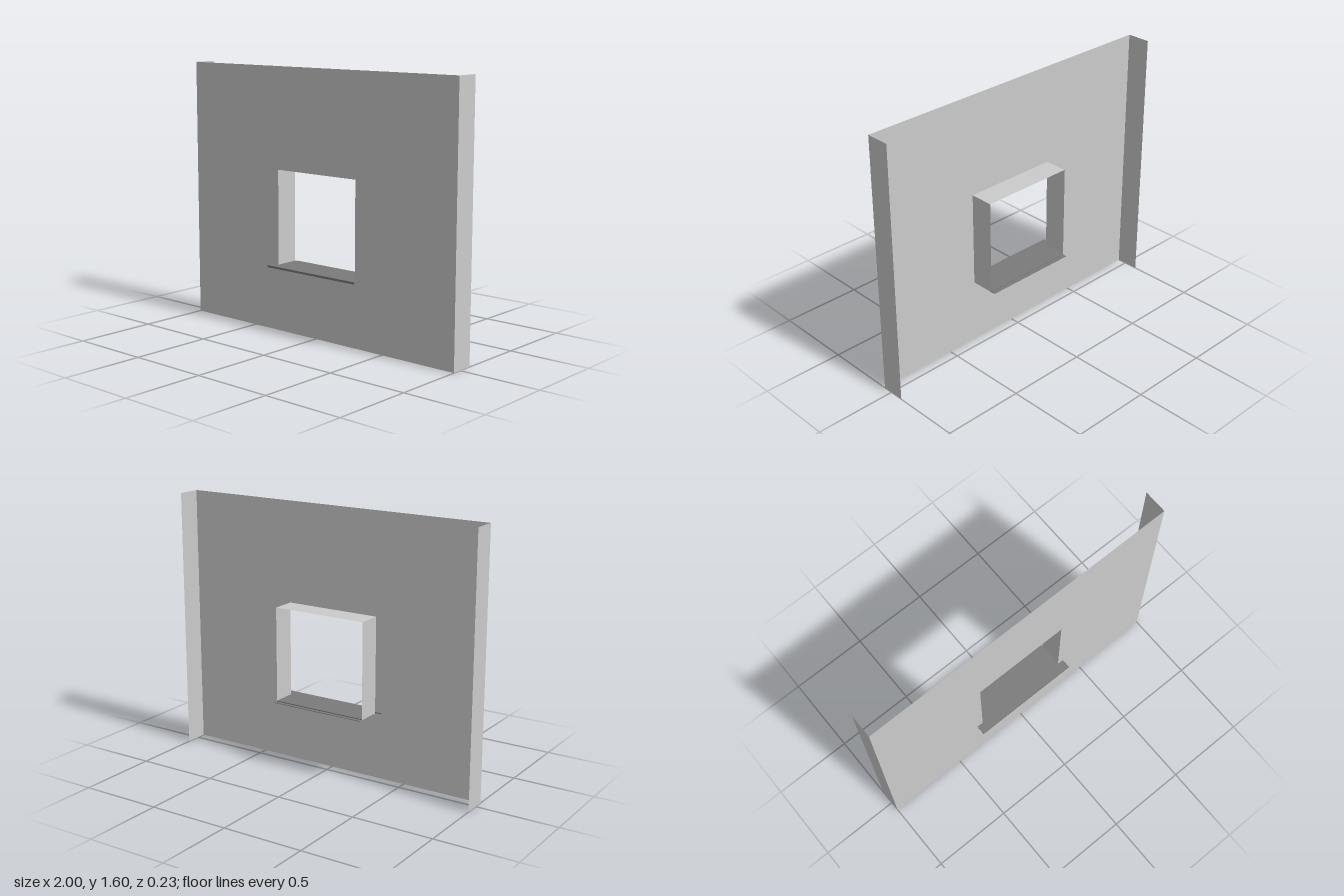
import * as THREE from 'three';

const FRONT = 0.058, BACK = -0.088; // depth of the wall panel and its returns
const W = 0.3, SILL_Y = 0.4, HEAD_Y = 0.985; // window opening

export function createModel() {
  const model = new THREE.Group();
  const wallMat = new THREE.MeshStandardMaterial({ color: 0xcccccc, side: THREE.DoubleSide });
  const sillMat = new THREE.MeshStandardMaterial({ color: 0x7a7a7a, side: THREE.DoubleSide });

  function add(name, geometry, material, x = 0, y = 0, z = 0) {
    const mesh = new THREE.Mesh(geometry, material);
    mesh.name = name;
    mesh.position.set(x, y, z);
    model.add(mesh);
    return mesh;
  }

  // Thin front panel with the window opening
  const panel = new THREE.Shape([[-1, 0], [1, 0], [1, 1.6], [-1, 1.6]].map(p => new THREE.Vector2(...p)));
  panel.holes.push(new THREE.Path(
    [[-W, SILL_Y], [-W, HEAD_Y], [W, HEAD_Y], [W, SILL_Y]].map(p => new THREE.Vector2(...p))));
  add('wallPanel', new THREE.ShapeGeometry(panel), wallMat, 0, 0, FRONT);

  // Sheets running back from the panel: outer returns and window reveals
  const depth = FRONT - BACK, mid = (FRONT + BACK) / 2;
  for (const [side, s] of [['left', 1], ['right', -1]]) {
    add(side + 'Return', new THREE.PlaneGeometry(depth, 1.6).rotateY(s * Math.PI / 2), wallMat, s, 0.8, mid);
    add(side + 'Reveal', new THREE.PlaneGeometry(depth, HEAD_Y - SILL_Y).rotateY(s * Math.PI / 2),
      wallMat, s * W, (HEAD_Y + SILL_Y) / 2, mid);
  }
  add('headReveal', new THREE.PlaneGeometry(2 * W, depth).rotateX(-Math.PI / 2), wallMat, 0, HEAD_Y, mid);
  add('bottomReveal', new THREE.PlaneGeometry(2 * W, depth).rotateX(Math.PI / 2), wallMat, 0, SILL_Y, mid);

  // Sill: (z, y) profile extruded along x
  function sillPart(name, points, halfWidth) {
    const shape = new THREE.Shape(points.map(p => new THREE.Vector2(...p)));
    const geo = new THREE.ExtrudeGeometry(shape, { depth: 2 * halfWidth, bevelEnabled: false });
    geo.rotateY(-Math.PI / 2); // profile x becomes z, extrusion becomes -x
    add(name, geo, sillMat, halfWidth, 0, 0);
  }
  // Wide outer nosing with a turned-down drip edge
  sillPart('sillNosing', [[FRONT, 0.402], [0.11, 0.402], [0.11, 0.395], [0.115, 0.395],
    [0.115, 0.408], [FRONT, 0.408]], 0.34);
  // Board inside the opening, stepping down to a thin tail behind the wall
  sillPart('sillBoard', [[FRONT, 0.402], [BACK, 0.402], [BACK, 0.4], [-0.115, 0.4],
    [-0.115, 0.403], [-0.092, 0.403], [-0.092, 0.408], [FRONT, 0.408]], W - 0.001);

  return model;
}
